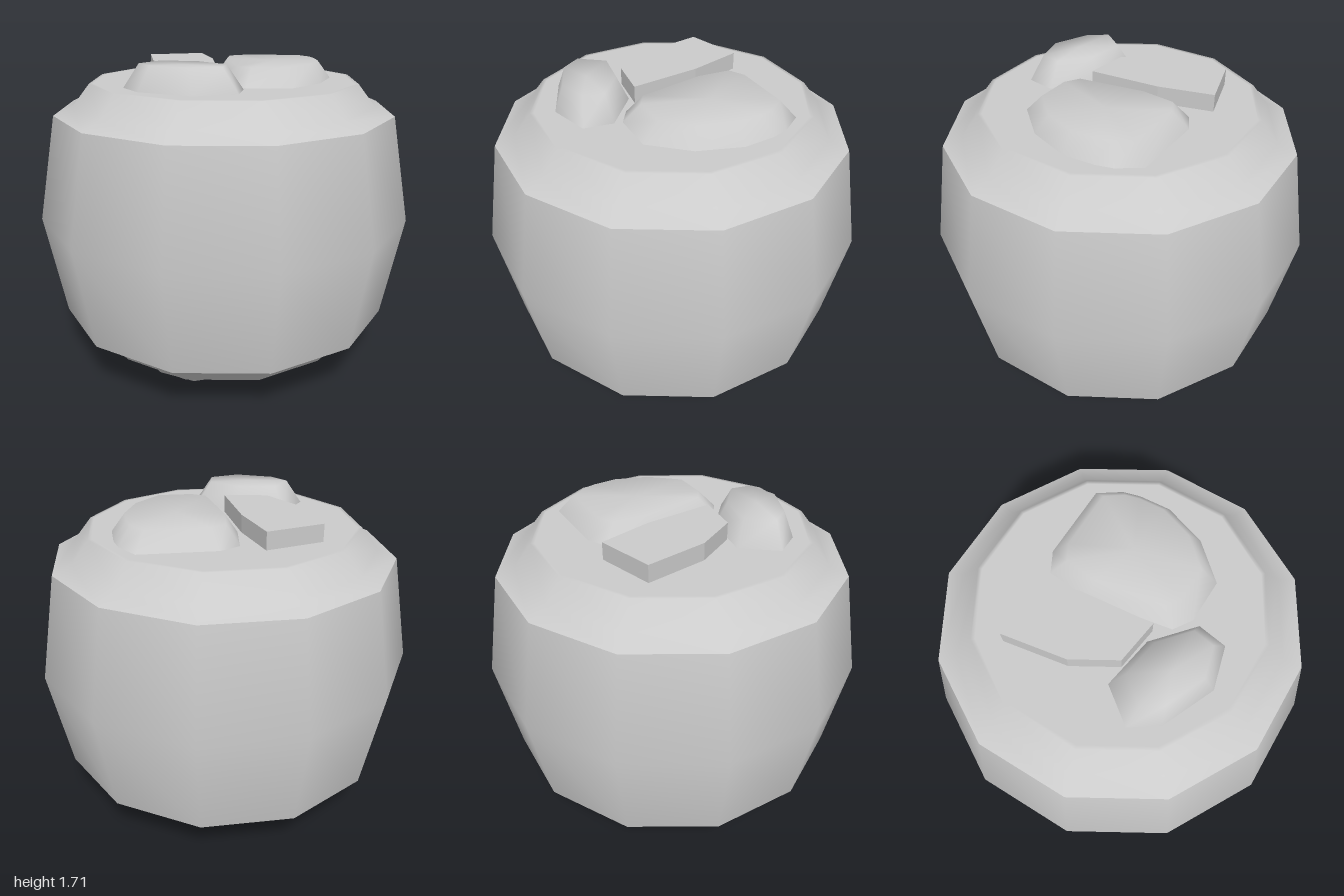
import * as THREE from 'three';

const MID = 0.857; // height of the mirror plane between the two ends
const material = new THREE.MeshStandardMaterial({ color: 0xcccccc });

// Twelve-sided lathe; profile is [half width, height above the mid plane], listed upwards
function lathe(name, profile) {
  const points = profile.map(([w, h]) => new THREE.Vector2(w / Math.cos(Math.PI / 12), MID + h));
  const mesh = new THREE.Mesh(new THREE.LatheGeometry(points, 12, Math.PI / 12), material);
  mesh.name = name;
  return mesh;
}

// Lump on an end face: an [x, z] outline drawn in towards a centre; side is 1 (top) or -1 (bottom)
function lump(name, outline, [cx, cz], scale, height, side, flat) {
  const n = outline.length;
  const y0 = MID + side * 0.73;
  const y1 = MID + side * (0.73 + height);
  const pos = [];
  for (const [x, z] of outline) pos.push(x, y0, z);
  for (const [x, z] of outline) pos.push(cx + (x - cx) * scale, y1, cz + (z - cz) * scale);
  pos.push(cx, y1, cz);
  const index = [];
  const tri = (a, b, c) => (side > 0 ? index.push(a, b, c) : index.push(a, c, b));
  for (let i = 0; i < n; i++) {
    const j = (i + 1) % n;
    tri(j, i, n + i);
    tri(j, n + i, n + j);
    tri(2 * n, n + j, n + i);
  }
  let geo = new THREE.BufferGeometry();
  geo.setAttribute('position', new THREE.Float32BufferAttribute(pos, 3));
  geo.setIndex(index);
  if (flat) geo = geo.toNonIndexed();
  geo.computeVertexNormals();
  const mesh = new THREE.Mesh(geo, material);
  mesh.name = name;
  return mesh;
}

// Filling outlines, clockwise seen from above
const slab = [[-0.195, -0.555], [0.11, -0.475], [0.03, -0.19], [-0.13, 0.155], [-0.315, 0.01], [-0.315, -0.24]];
const large = [[0.17, -0.35], [0.29, -0.345], [0.635, -0.14], [0.645, 0], [0.62, 0.09], [0.545, 0.24],
  [0.365, 0.395], [0.13, 0.47], [-0.07, 0.35], [-0.12, 0.25], [0.04, -0.17]];
const small = [[-0.605, 0.035], [-0.4, -0.05], [-0.185, 0.13], [-0.1, 0.38], [-0.2, 0.5], [-0.42, 0.44], [-0.595, 0.2]];

export function createModel() {
  const group = new THREE.Group();

  // Bulging outer wrap
  group.add(lathe('wrap', [[0.9, -0.568], [1, 0], [0.9, 0.568]]));

  // Rounded ends, each with three pieces of filling
  const end = [[0.9, 0.568], [0.8, 0.613], [0.71, 0.73], [0.69, 0.73], [0, 0.73]];
  const lower = end.map(([w, h]) => [w, -h]).reverse();
  for (const side of [1, -1]) {
    const part = new THREE.Group();
    part.name = side > 0 ? 'topEnd' : 'bottomEnd';
    part.add(
      lathe('endFace', side > 0 ? end : lower),
      lump('slabFilling', slab, [-0.12, -0.2], 1, 0.093, side, true),
      lump('largeFilling', large, [0.26, 0.06], 0.79, 0.093, side, false),
      lump('smallFilling', small, [-0.37, 0.24], 0.72, 0.125, side, false)
    );
    group.add(part);
  }
  return group;
}
